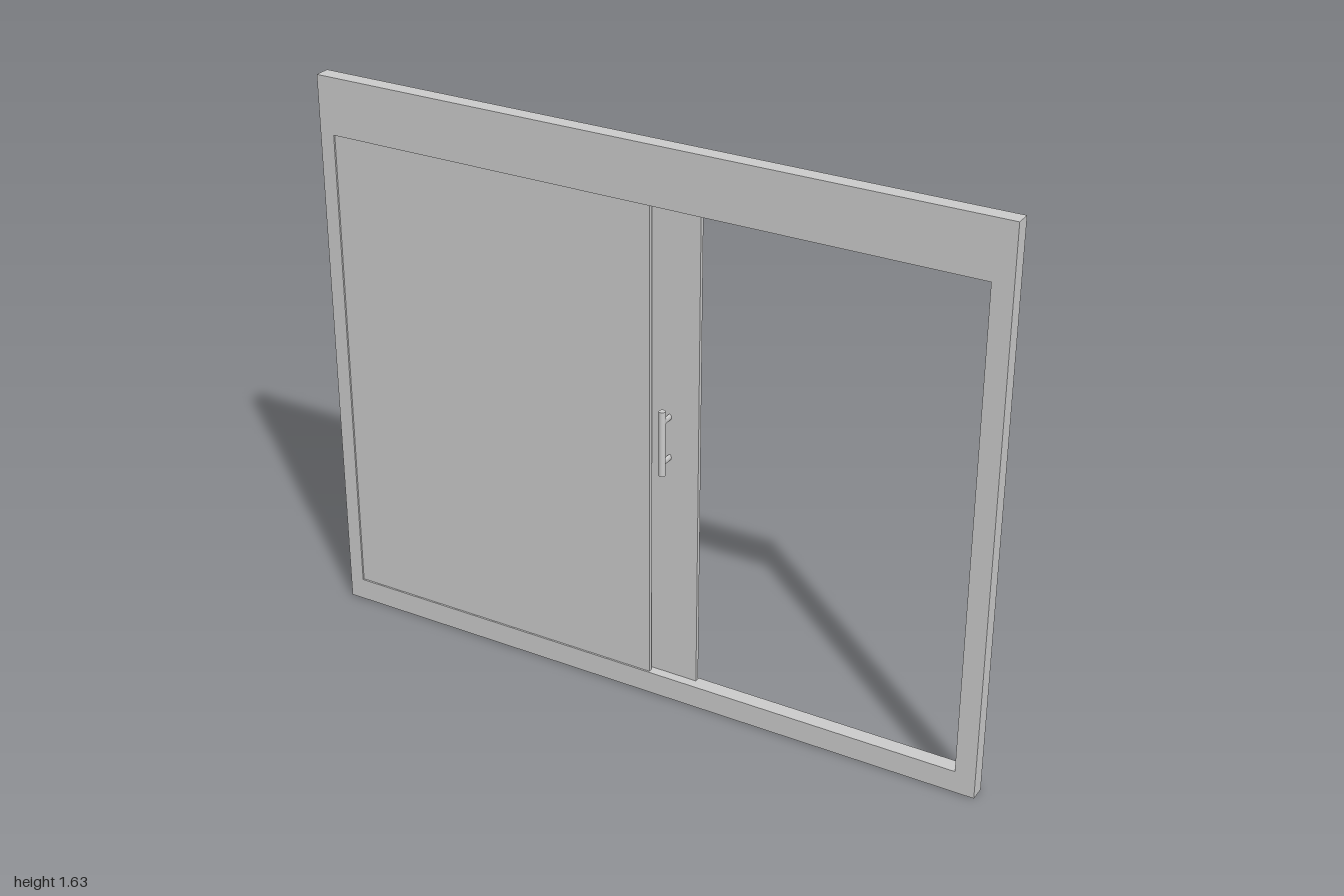
import * as THREE from 'three';

const material = new THREE.MeshStandardMaterial({ color: 0xcccccc });

function addMesh(parent, name, geometry, x, y, z) {
  const mesh = new THREE.Mesh(geometry, material);
  mesh.name = name;
  mesh.position.set(x, y, z);
  parent.add(mesh);
  return mesh;
}

// Flat panel given by its limits
function addPanel(parent, name, x0, x1, y0, y1, z0, z1) {
  return addMesh(parent, name, new THREE.BoxGeometry(x1 - x0, y1 - y0, z1 - z0),
    (x0 + x1) / 2, (y0 + y1) / 2, (z0 + z1) / 2);
}

function rectangle(PathType, x0, x1, y0, y1) {
  const path = new PathType();
  path.moveTo(x0, y0);
  path.lineTo(x1, y0);
  path.lineTo(x1, y1);
  path.lineTo(x0, y1);
  path.closePath();
  return path;
}

export function createModel() {
  const model = new THREE.Group();
  model.name = 'slidingDoor';

  const height = 1.626;
  const back = -0.011, front = 0.034;
  const left = 0.942, right = -0.957, sill = 0.065, head = 1.462;

  // Outer frame with one wide opening and a deep header
  const outline = rectangle(THREE.Shape, -1, 1, 0, height);
  outline.holes.push(rectangle(THREE.Path, right, left, sill, head));
  addMesh(model, 'frame',
    new THREE.ExtrudeGeometry(outline, { depth: front - back, bevelEnabled: false }), 0, 0, back);

  // Fixed panel near the front, sliding panel near the back
  addPanel(model, 'fixedPanel', right, 0.02, sill, head, 0.017, 0.029);
  addPanel(model, 'slidingPanel', -0.84, 0.155, sill, head, -0.006, 0.006);

  // Pull handles on both faces of the sliding panel
  const barZ = 0.046, barRadius = 0.0095, middle = 0.805;
  for (const side of [1, -1]) {
    const handle = new THREE.Group();
    handle.name = side > 0 ? 'frontHandle' : 'backHandle';
    handle.position.set(0.068, middle, 0);
    addMesh(handle, 'handleBar', new THREE.CylinderGeometry(barRadius, barRadius, 0.19, 24),
      0, 0, side * barZ);
    for (const end of [1, -1]) {
      const post = addMesh(handle, 'handlePost',
        new THREE.CylinderGeometry(0.009, 0.009, barZ - 0.006, 16).rotateX(Math.PI / 2),
        0, end * 0.06, side * (barZ + 0.006) / 2);
      post.scale.x = 0.6;
    }
    model.add(handle);
  }

  return model;
}
